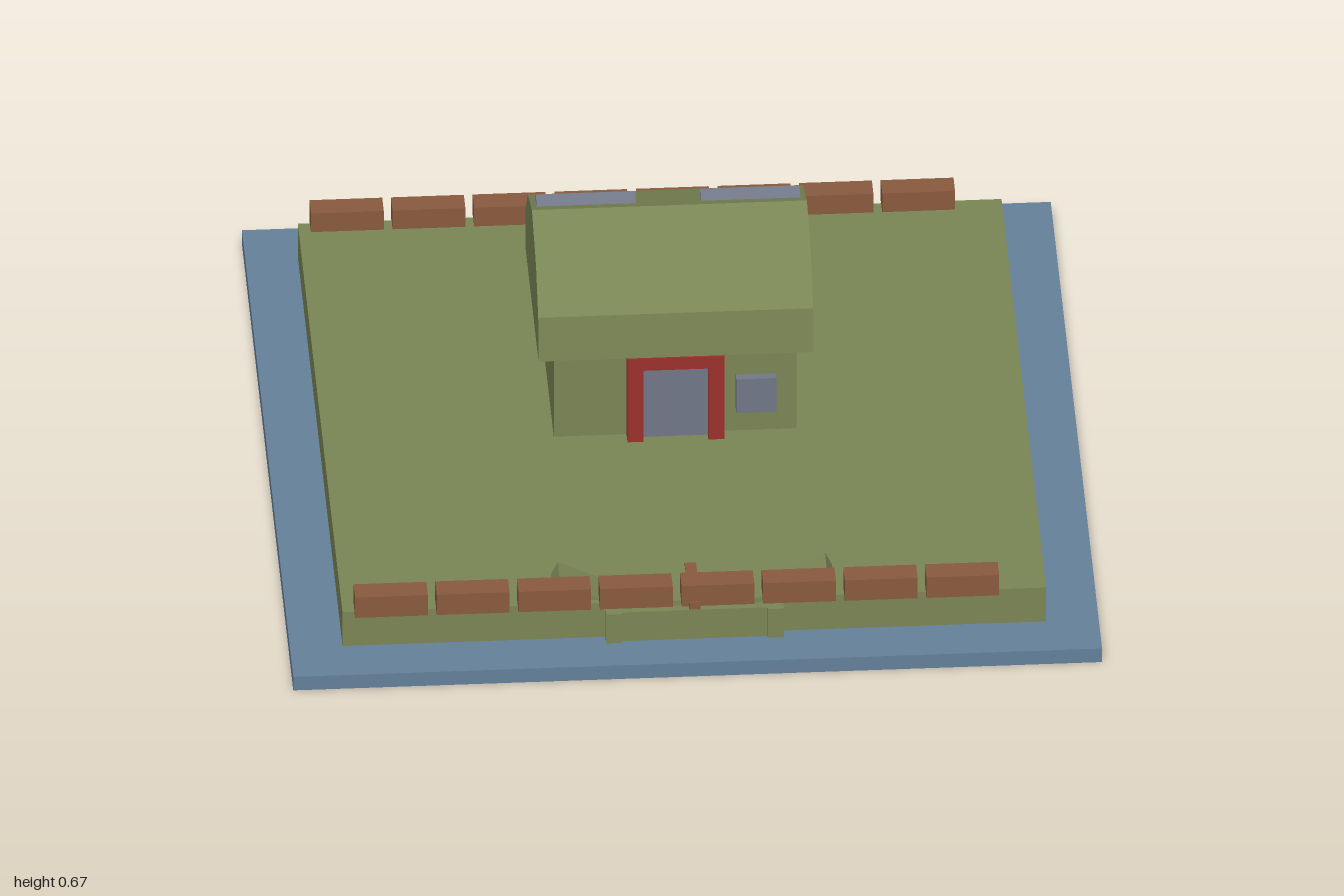
import * as THREE from 'three';

const mat = (name, color) => {
  const m = new THREE.MeshStandardMaterial({ color });
  m.name = name;
  return m;
};

export function createModel() {
  const model = new THREE.Group();
  model.name = 'cottageOnIsland';
  const water = mat('water blue', 0x64819a);
  const olive = mat('olive green', 0x7b8655);
  const brick = mat('brick brown', 0x8a5a3e);
  const red = mat('door red', 0x9c302c);
  const glass = mat('grey glass', 0x727888);

  // Box given by its limits on each axis
  const box = (name, material, [x0, x1], [y0, y1], [z0, z1], parent = model) => {
    const mesh = new THREE.Mesh(new THREE.BoxGeometry(x1 - x0, y1 - y0, z1 - z0), material);
    mesh.position.set((x0 + x1) / 2, (y0 + y1) / 2, (z0 + z1) / 2);
    mesh.name = name;
    parent.add(mesh);
    return mesh;
  };

  // Water slab and raised ground
  box('water', water, [-1, 1], [0, 0.04], [-1, 1]);
  box('ground', olive, [-0.87, 0.87], [0.04, 0.14], [-0.87, 0.87]);

  // Cottage walls
  const house = new THREE.Group();
  house.name = 'cottage';
  model.add(house);
  box('walls', olive, [-0.3, 0.3], [0.14, 0.4], [-0.32, 0.12], house);

  // Curved barn roof, profile in z and y, swept along x
  const profile = [[0.16, 0.39], [0.145, 0.51], [0.06, 0.607], [-0.1, 0.667],
    [-0.26, 0.607], [-0.345, 0.51], [-0.36, 0.39]];
  const shape = new THREE.Shape(profile.map(([z, y]) => new THREE.Vector2(-z, y)));
  const roofGeometry = new THREE.ExtrudeGeometry(shape, { depth: 0.68, bevelEnabled: false });
  roofGeometry.translate(0, 0, -0.34).rotateY(Math.PI / 2);
  const roof = new THREE.Mesh(roofGeometry, olive);
  roof.name = 'roof';
  house.add(roof);

  // Door with frame, and window
  for (const s of [-1, 1]) {
    box('doorPost', red, [s * 0.1 - 0.02, s * 0.1 + 0.02], [0.14, 0.385], [0.115, 0.157], house);
  }
  box('doorLintel', red, [-0.08, 0.08], [0.35, 0.385], [0.115, 0.157], house);
  box('doorPane', glass, [-0.08, 0.08], [0.14, 0.35], [0.115, 0.135], house);
  box('window', glass, [0.15, 0.25], [0.205, 0.305], [0.115, 0.142], house);

  // Skylights on the back slope
  for (const s of [-1, 1]) {
    const light = box('skylight', glass, [s * 0.203 - 0.123, s * 0.203 + 0.123],
      [0.64, 0.66], [-0.175, -0.135], house);
    light.rotation.x = 0.3;
  }

  // Rows of bricks along front and back edges
  for (const z of [-0.86, 0.86]) {
    for (let i = 0; i < 8; i++) {
      const x = -0.75 + i * 0.2018;
      box('brick', brick, [x - 0.09, x + 0.09], [0.135, 0.195], [z - 0.03, z + 0.03]);
    }
  }

  // Small landing at the front edge
  box('landing', olive, [-0.18, 0.18], [0.04, 0.125], [0.86, 0.892]);
  box('landingBeam', brick, [-0.014, 0.014], [0.127, 0.148], [0.715, 0.893]);
  for (const s of [-1, 1]) {
    box('landingPost', olive, [s * 0.2 - 0.02, s * 0.2 + 0.02], [0.04, 0.125], [0.86, 0.9]);
    const flap = box('landingFlap', olive, [s * 0.276 - 0.07, s * 0.276 + 0.07],
      [0.122, 0.162], [0.755, 0.855]);
    flap.rotation.z = s * 0.45;
  }
  return model;
}
